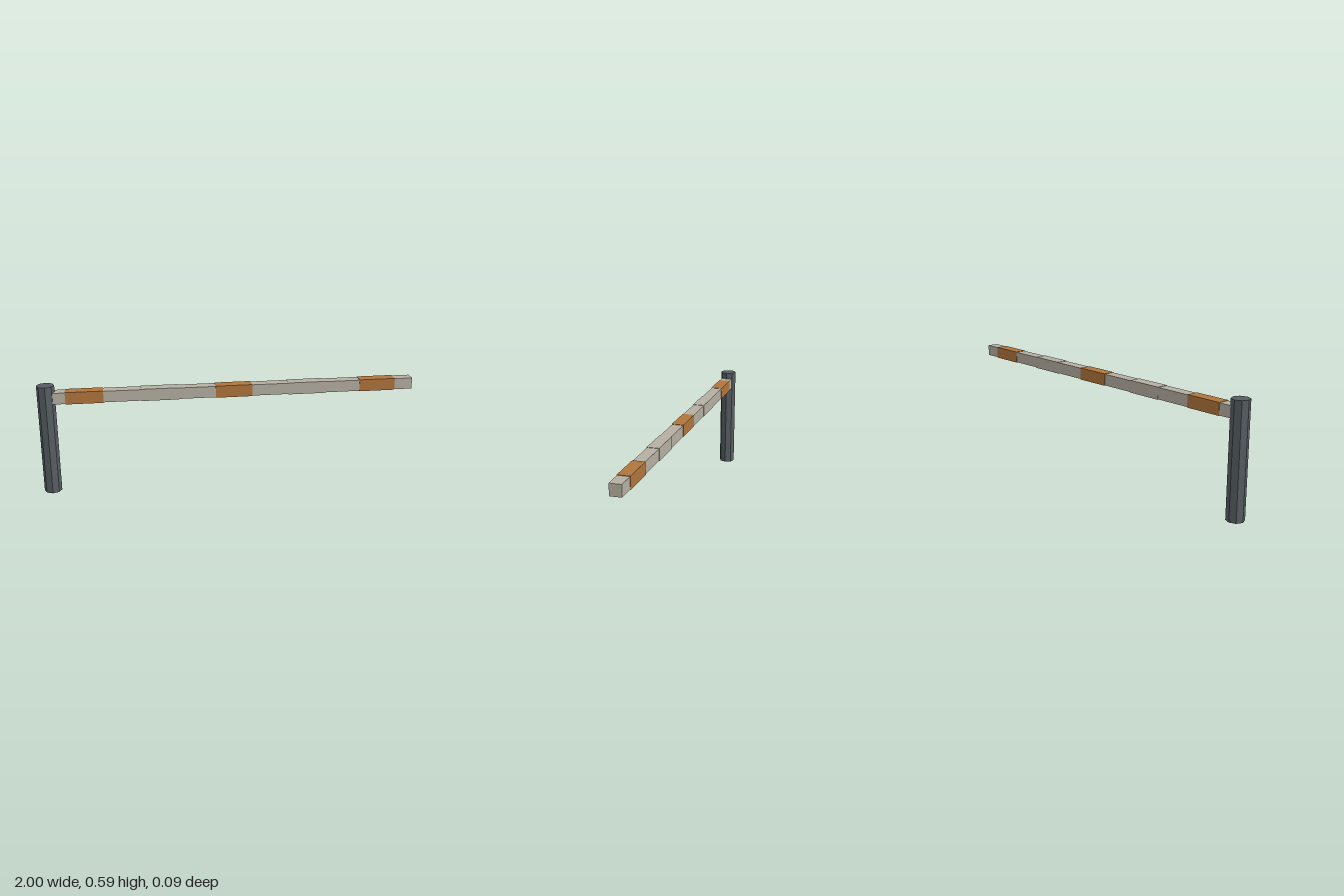
import * as THREE from 'three';

export function createModel() {
  const model = new THREE.Group();
  const material = (color) => new THREE.MeshStandardMaterial({ color, flatShading: true });
  const steel = material(0x565d61);
  const pale = material(0xb5afa2);
  const orange = material(0xb0753c);

  const add = (name, geometry, mat, x, y) => {
    const mesh = new THREE.Mesh(geometry, mat);
    mesh.name = name;
    mesh.position.set(x, y, 0);
    model.add(mesh);
  };

  // Octagonal post
  const postX = -0.954, postHeight = 0.588;
  add('post', new THREE.CylinderGeometry(0.046, 0.046, postHeight, 8), steel, postX, postHeight / 2);

  // Barrier arm, from the post axis to the free end
  const armLength = 1 - postX, armX = (1 + postX) / 2, armY = 0.523;
  add('arm', new THREE.BoxGeometry(armLength, 0.06, 0.06), pale, armX, armY);

  // Five evenly spaced sleeves, alternating orange and pale
  const pitch = armLength / 5;
  for (let i = 0; i < 5; i++) {
    add(`stripe${i + 1}`, new THREE.BoxGeometry(pitch / 2, 0.064, 0.064),
      i % 2 ? pale : orange, armX + (i - 2) * pitch, armY);
  }
  return model;
}
